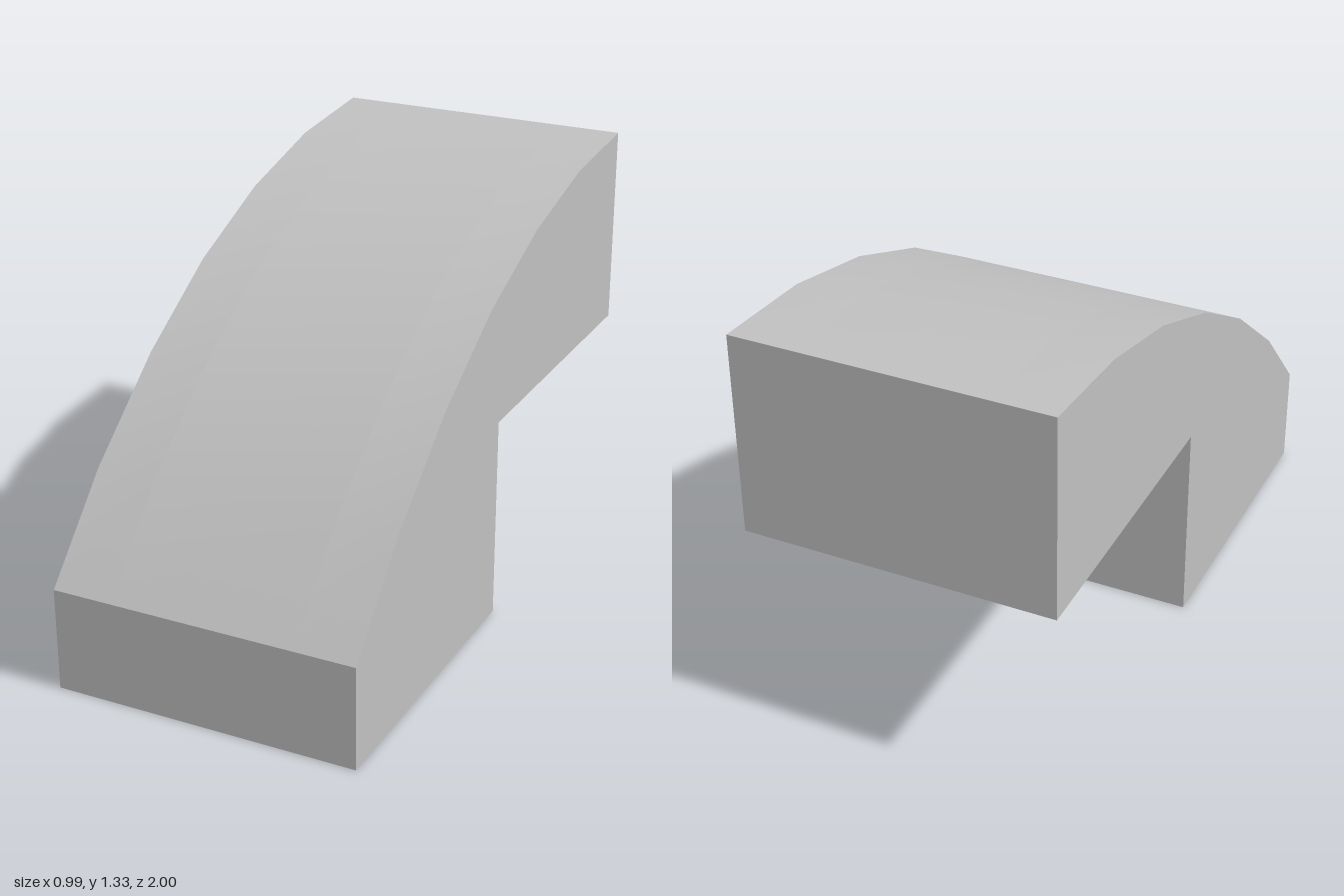
import * as THREE from 'three';
import { toCreasedNormals } from 'three/addons/utils/BufferGeometryUtils.js';

const W = 0.496;      // half width of the brick
const R = 0.3;        // half width of each underside recess
const DEPTH = 0.32;   // recess depth
const LIP = 0.16;     // height at which the recess corners start to slope
const STEP = 0.667;   // height of the raised underside

// Profile points are [z, y]
const curve = [[1, 0.335], [0.73, 0.62], [0.41, 0.875], [0.08, 1.07], [-0.27, 1.21], [-0.63, 1.295], [-1, 1.325]];
const solidProfile = [...curve, [-1, STEP], [0, STEP], [0, 0], [1, 0]];
const lowerRecess = [[0.2, 0], [0.2, DEPTH], [0.8, DEPTH], [0.8, 0]];
const upperRecess = [
  [-0.8, STEP], [-0.8, STEP + DEPTH], [-0.2, STEP + DEPTH],
  [-0.2, STEP + LIP], [0, STEP + LIP], [0, STEP],
];
const hollowProfile = [...curve, [-1, STEP], ...upperRecess.slice(0, 5), [0, 0], ...lowerRecess, [1, 0]];

const shapeOf = (points, sign = 1) => new THREE.Shape(points.map(([z, y]) => new THREE.Vector2(sign * z, y)));

// Walls of a profile swept from x0 to x1, without end caps
function sweep(points, x0, x1) {
  const solid = new THREE.ExtrudeGeometry(shapeOf(points), { depth: x1 - x0, bevelEnabled: false });
  const { start, count } = solid.groups[1];
  const walls = new THREE.BufferGeometry();
  walls.setAttribute('position', new THREE.BufferAttribute(
    solid.attributes.position.array.slice(start * 3, (start + count) * 3), 3));
  walls.rotateY(-Math.PI / 2).translate(x1, 0, 0);
  return toCreasedNormals(walls, 0.5);
}

// Flat face at x, facing +x or -x
function sideFace(points, x, dir) {
  return new THREE.ShapeGeometry(shapeOf(points, -dir)).rotateY(dir * Math.PI / 2).translate(x, 0, 0);
}

// Sloped corner of a recess, trimmed by a round socket wall
function socketCorner() {
  const pos = [];
  const tri = (...pts) => pts.forEach((p) => pos.push(...p));
  const n = 4;
  const rim = [], top = [];
  for (let i = 0; i <= n; i++) {
    const a = (i / n) * Math.PI / 2, c = Math.cos(a), s = Math.sin(a);
    rim.push([R * c, DEPTH - (DEPTH - LIP) * (c + s - 1), R * s]);
    top.push([R * c, DEPTH, R * s]);
  }
  for (let i = 0; i < n; i++) {
    tri([R, LIP, R], rim[i + 1], rim[i]);
    if (i > 0) tri(rim[i], rim[i + 1], top[i]);
    if (i < n - 1) tri(top[i], rim[i + 1], top[i + 1]);
  }
  const geo = new THREE.BufferGeometry();
  geo.setAttribute('position', new THREE.Float32BufferAttribute(pos, 3));
  return toCreasedNormals(geo, 0.5);
}

export function createModel() {
  const group = new THREE.Group();
  const grey = new THREE.MeshStandardMaterial({ color: 0xc0c0c0 });
  grey.name = 'light grey';
  const add = (name, geo, parent = group) => {
    const mesh = new THREE.Mesh(geo, grey);
    mesh.name = name;
    parent.add(mesh);
    return mesh;
  };

  // Curved body: hollowed middle between two solid edges
  add('middleBody', sweep(hollowProfile, -R, R));
  add('leftEdge', sweep(solidProfile, R, W));
  add('rightEdge', sweep(solidProfile, -W, -R));

  // Outer sides and the inner cheeks of both recesses
  for (const dir of [1, -1]) {
    const side = dir > 0 ? 'left' : 'right';
    add(side + 'Side', sideFace(solidProfile, dir * W, dir));
    add(side + 'LowerCheek', sideFace(lowerRecess, dir * R, -dir));
    add(side + 'UpperCheek', sideFace(upperRecess, dir * R, -dir));
  }

  // Round sockets inside the recesses
  const corner = socketCorner();
  for (const [name, y, z] of [['lowerSocket', 0, 0.5], ['upperSocket', STEP, -0.5]]) {
    const socket = new THREE.Group();
    socket.name = name;
    socket.position.set(0, y, z);
    for (let k = 0; k < 4; k++) add('socketCorner', corner, socket).rotation.y = k * Math.PI / 2;
    group.add(socket);
  }

  // Small bar in the open end of the upper recess
  add('supportBar', new THREE.BoxGeometry(0.15, LIP, 0.2)).position.set(0, STEP + LIP / 2, -0.1);

  return group;
}
